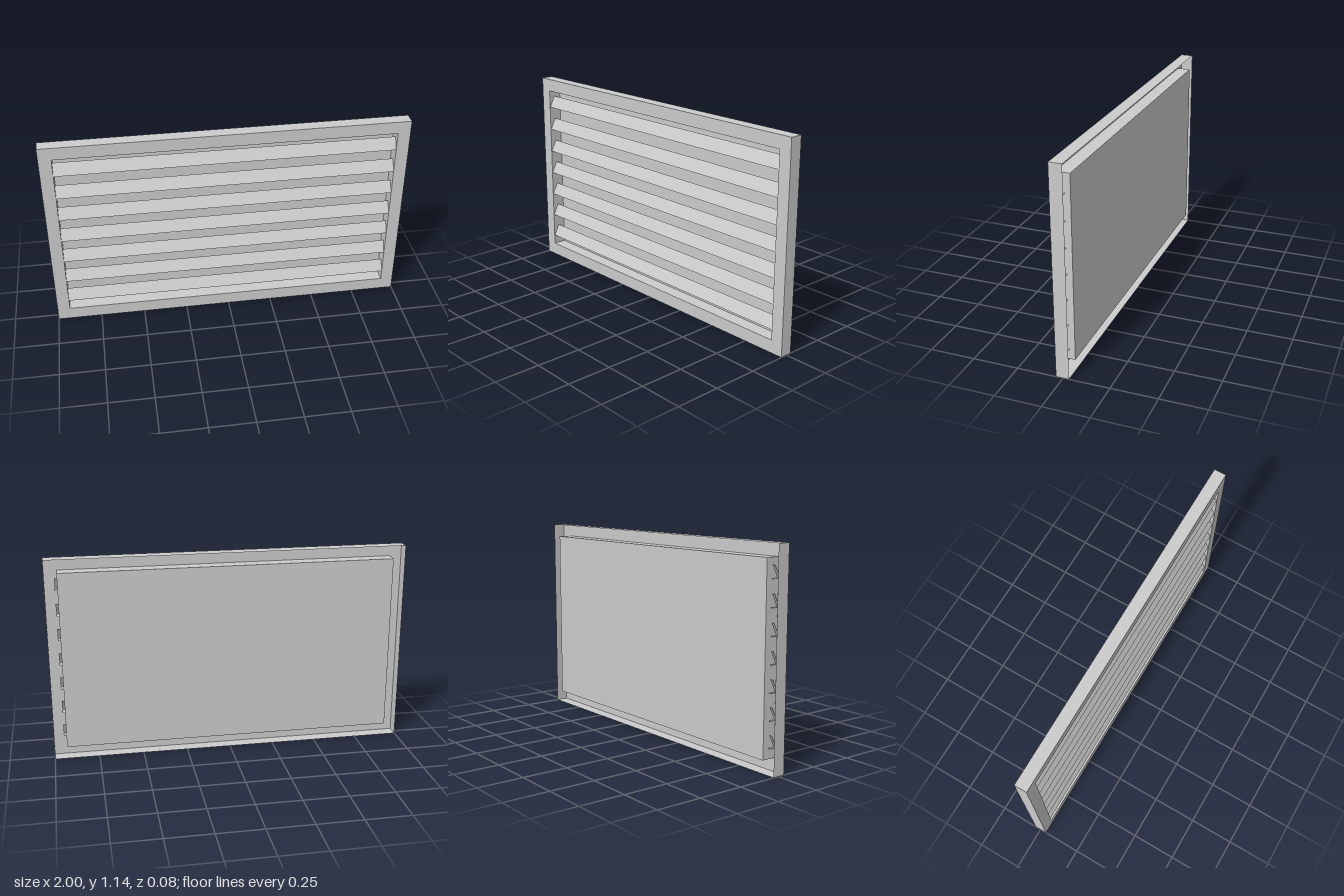
import * as THREE from 'three';

const W = 1, H = 1.145;                       // half width and height of the frame
const OX = 0.93, OY0 = 0.072, OY1 = 1.074;    // opening
const FRONT = 0.038, RIM_BACK = -0.032, PAN_BACK = -0.038;

const material = new THREE.MeshStandardMaterial({
  color: 0xcccccc, side: THREE.DoubleSide, flatShading: true,
});

const corners = (hx, y0, y1) => [[-hx, y0], [hx, y0], [hx, y1], [-hx, y1]];

// Sheet spanning two matching rows of 3D points
function strip(rowA, rowB) {
  const pos = [];
  for (let i = 0; i < rowA.length - 1; i++) {
    const [a, b, c, d] = [rowA[i], rowA[i + 1], rowB[i + 1], rowB[i]];
    pos.push(...a, ...b, ...c, ...a, ...c, ...d);
  }
  const g = new THREE.BufferGeometry();
  g.setAttribute('position', new THREE.Float32BufferAttribute(pos, 3));
  g.computeVertexNormals();
  return g;
}

// Four thin walls around a rectangle, from depth z0 to z1
function walls(rect, z0, z1) {
  const loop = [...rect, rect[0]];
  return strip(loop.map(([x, y]) => [x, y, z0]), loop.map(([x, y]) => [x, y, z1]));
}

export function createModel() {
  const model = new THREE.Group();
  model.name = 'louverVent';
  const add = (name, geometry) => {
    const mesh = new THREE.Mesh(geometry, material);
    mesh.name = name;
    model.add(mesh);
    return mesh;
  };
  const toVec = ([x, y]) => new THREE.Vector2(x, y);
  const outer = corners(W, 0, H);
  const opening = corners(OX, OY0, OY1);

  // Front face of the frame with its rectangular opening
  const face = new THREE.Shape(outer.map(toVec));
  face.holes.push(new THREE.Path(opening.map(toVec)));
  add('frameFace', new THREE.ShapeGeometry(face)).position.z = FRONT;

  // Outer rim folded backwards
  add('frameRim', walls(outer, RIM_BACK, FRONT));

  // Shallow pan behind the opening
  add('panWalls', walls(opening, PAN_BACK, FRONT));
  const back = new THREE.ShapeGeometry(new THREE.Shape(opening.map(toVec)));
  add('panBack', back).position.z = PAN_BACK;

  // Sloping louvers with a horizontal lip, ends passing through the pan walls
  const profile = [[0.066, 0.003], [0, 0.036], [0, -0.01]];
  const end = x => profile.map(([y, z]) => [x, y, z]);
  const louver = strip(end(-0.945), end(0.945));
  for (let i = 0; i < 7; i++) {
    add('louver' + (i + 1), louver).position.y = 0.128 + i * 0.1405;
  }
  return model;
}
